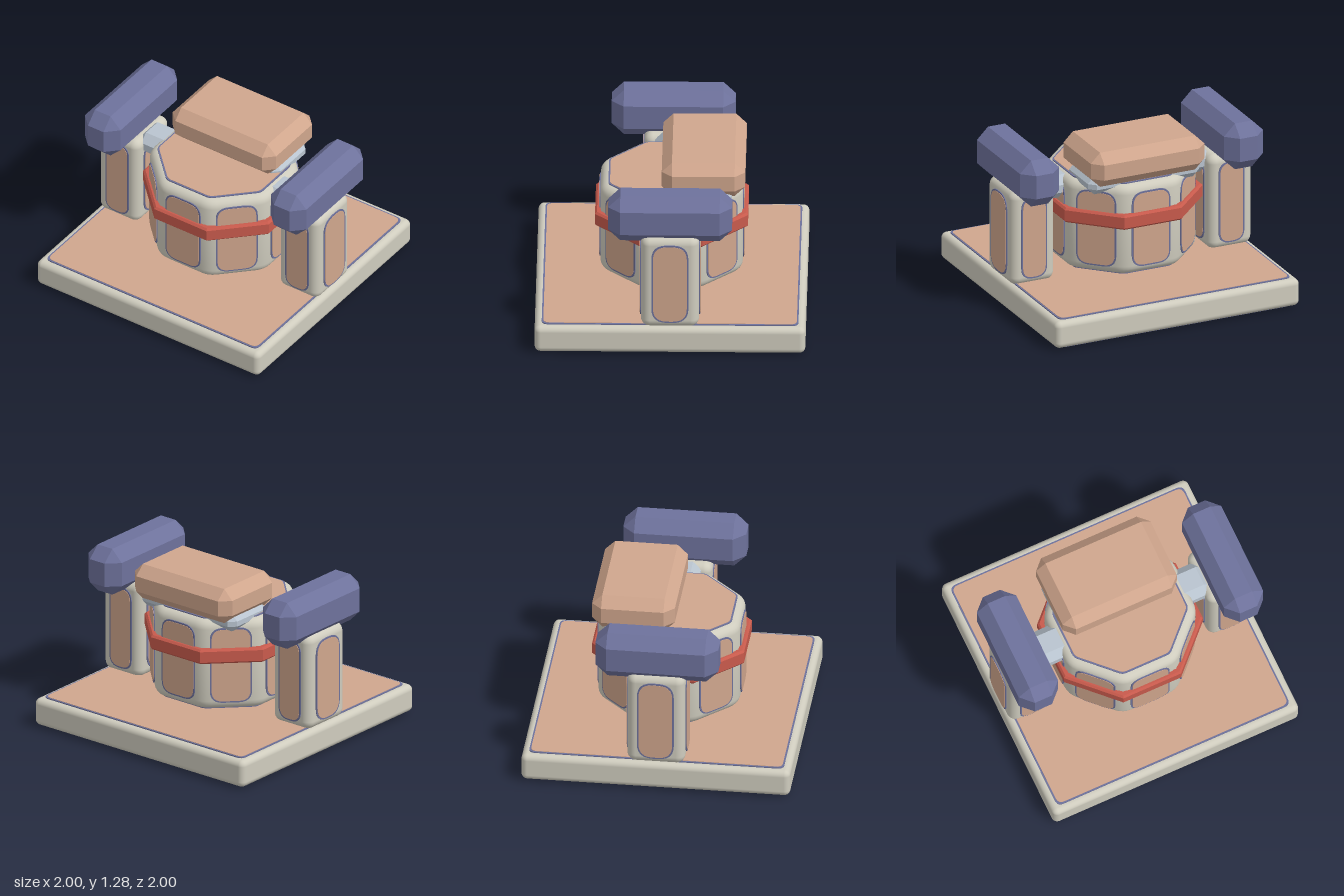
import * as THREE from 'three';
import { toCreasedNormals } from 'three/addons/utils/BufferGeometryUtils.js';
import { RoundedBoxGeometry } from 'three/addons/geometries/RoundedBoxGeometry.js';
import { ConvexGeometry } from 'three/addons/geometries/ConvexGeometry.js';

const paint = (name, color) => {
  const m = new THREE.MeshStandardMaterial({ color });
  m.name = name;
  return m;
};

// Box with every edge cut at 45 degrees
function chamferBox(w, h, d, c) {
  const pts = [];
  for (const x of [-1, 1]) for (const y of [-1, 1]) for (const z of [-1, 1]) {
    for (const a of [0, 1, 2]) {
      const half = [w / 2 - c, h / 2 - c, d / 2 - c];
      half[a] += c;
      pts.push(new THREE.Vector3(x * half[0], y * half[1], z * half[2]));
    }
  }
  return new ConvexGeometry(pts);
}

// Polygon outline with rounded corners
function roundPoly(corners, r) {
  const s = new THREE.Shape();
  const n = corners.length;
  corners.forEach((p, i) => {
    const prev = corners[(i + n - 1) % n], next = corners[(i + 1) % n];
    const a = p.clone().add(prev.clone().sub(p).setLength(r));
    const b = p.clone().add(next.clone().sub(p).setLength(r));
    if (i === 0) s.moveTo(a.x, a.y); else s.lineTo(a.x, a.y);
    s.quadraticCurveTo(p.x, p.y, b.x, b.y);
  });
  s.closePath();
  return s;
}

const rect = (w, h, r) => roundPoly([[-1, -1], [1, -1], [1, 1], [-1, 1]]
  .map(([x, y]) => new THREE.Vector2(x * w / 2, y * h / 2)), r);

// Octagon with flats facing the axes
const octagon = (apothem, r) => {
  const R = apothem / Math.cos(Math.PI / 8);
  return roundPoly(Array.from({ length: 8 }, (_, i) => {
    const a = (i + 0.5) * Math.PI / 4;
    return new THREE.Vector2(R * Math.cos(a), R * Math.sin(a));
  }), r);
};

export function createModel() {
  const model = new THREE.Group();
  model.name = 'model';
  const stone = paint('stone', 0xcfccbe);
  const tan = paint('tan', 0xd0a68d);
  const navy = paint('slateBlue', 0x6e729c);
  const red = paint('red', 0xc85a4c);
  const steel = paint('paleSteel', 0xb9c4cf);

  const add = (parent, name, geo, mat, x = 0, y = 0, z = 0) => {
    const m = new THREE.Mesh(geo, mat);
    m.name = name;
    m.position.set(x, y, z);
    parent.add(m);
    return m;
  };

  // Tan inlay on a slightly larger blue rim, facing local +z
  const inlay = (parent, name, makeShape, pos, rx = 0, ry = 0) => {
    const g = new THREE.Group();
    g.name = name;
    const plate = (s, depth) => new THREE.ExtrudeGeometry(s, { depth, bevelEnabled: false, curveSegments: 6 });
    add(g, 'rim', plate(makeShape(0.012), 0.008), navy);
    add(g, 'panel', plate(makeShape(0), 0.0095), tan, 0, 0, 0.0015);
    g.position.set(...pos);
    g.rotation.set(rx, ry, 0);
    parent.add(g);
  };

  // Base slab with inlays above and below
  const base = new THREE.Group();
  base.name = 'base';
  model.add(base);
  add(base, 'slab', new RoundedBoxGeometry(2, 0.212, 2, 4, 0.045), stone, 0, 0.118, 0);
  const floor = (e) => rect(1.872 + 2 * e, 1.872 + 2 * e, 0.05);
  inlay(base, 'topInlay', floor, [0, 0.224, 0], -Math.PI / 2);
  inlay(base, 'bottomInlay', floor, [0, 0.011, 0], Math.PI / 2);

  // Octagonal drum
  const drum = new THREE.Group();
  drum.name = 'drum';
  model.add(drum);
  const b = 0.07;
  const drumGeo = new THREE.ExtrudeGeometry(octagon(0.527, 0.07), {
    depth: 0.71 - 2 * b, bevelSize: b, bevelThickness: b, bevelOffset: -b, bevelSegments: 5, curveSegments: 4,
  });
  drumGeo.rotateX(-Math.PI / 2);
  add(drum, 'drumBody', toCreasedNormals(drumGeo, 0.6), stone, 0, 0.288 + b, 0);
  const lid = (e) => octagon(0.455 + e, 0.03);
  inlay(drum, 'lidInlay', lid, [0, 0.997, 0], -Math.PI / 2);
  inlay(drum, 'undersideInlay', lid, [0, 0.289, 0], Math.PI / 2);
  for (let i = 0; i < 8; i++) {
    const a = i * Math.PI / 4;
    inlay(drum, 'drumWindow', (e) => rect(0.29 + 2 * e, 0.57 + 2 * e, 0.085 + e),
      [0.526 * Math.sin(a), 0.645, 0.526 * Math.cos(a)], 0, a);
  }

  // Red band around the drum
  const k = 1 / Math.cos(Math.PI / 8);
  const profile = [[0.52, 0.67], [0.55, 0.67], [0.565, 0.685], [0.565, 0.77], [0.55, 0.785], [0.52, 0.785], [0.52, 0.67]]
    .map(([r, y]) => new THREE.Vector2(r * k, y));
  const band = new THREE.LatheGeometry(profile, 8, Math.PI / 8).toNonIndexed();
  band.computeVertexNormals();
  add(drum, 'band', band, red);

  // Head block on a low neck
  add(model, 'neck', chamferBox(0.91, 0.14, 0.42, 0.05), steel, 0, 1.0, -0.24);
  add(model, 'headBlock', chamferBox(0.93, 0.272, 0.616, 0.076), tan, 0, 1.149, -0.238);

  // Side pillars with their rails and connectors
  for (const side of [1, -1]) {
    const arm = new THREE.Group();
    arm.name = side > 0 ? 'leftArm' : 'rightArm';
    arm.position.x = side * 0.808;
    model.add(arm);
    add(arm, 'pillar', new RoundedBoxGeometry(0.36, 0.75, 0.43, 5, 0.065), stone, 0, 0.593, 0);
    for (let i = 0; i < 4; i++) {
      const a = i * Math.PI / 2;
      const w = i % 2 ? 0.25 : 0.185;
      inlay(arm, 'pillarWindow', (e) => rect(w + 2 * e, 0.62 + 2 * e, w * 0.42 + e),
        [0.179 * Math.sin(a), 0.59, 0.214 * Math.cos(a)], 0, a);
    }
    add(arm, 'rail', chamferBox(0.32, 0.365, 0.915, 0.09), navy, side * 0.027, 1.092, 0);
    add(arm, 'connector', chamferBox(0.36, 0.18, 0.272, 0.06), steel, -side * 0.28, 0.9, 0);
  }
  return model;
}
